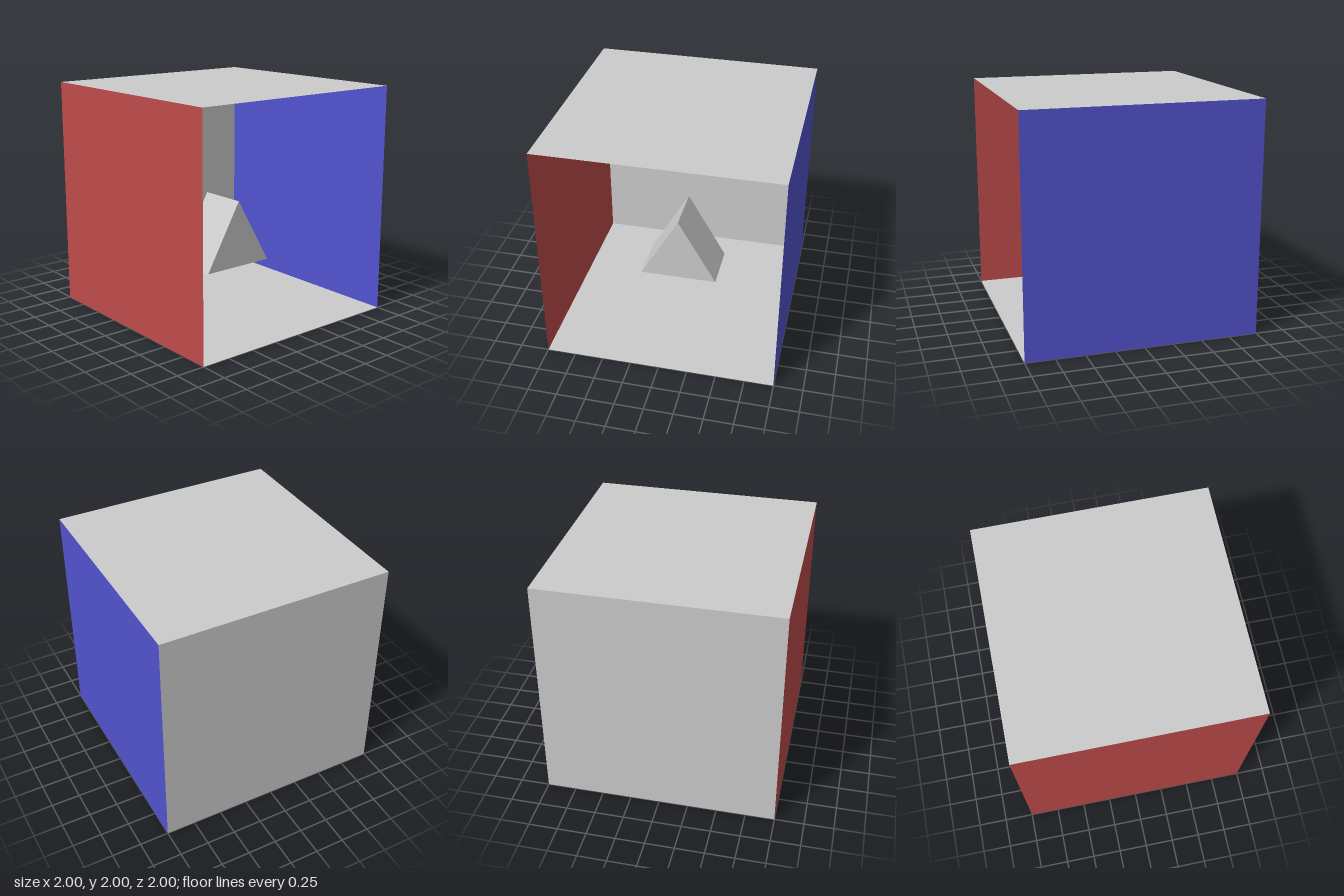
import * as THREE from 'three';

const GREY = 0xcccccc, RED = 0xc04c4c, BLUE = 0x5353d0;

function createMaterial(color) {
  return new THREE.MeshStandardMaterial({ color, side: THREE.DoubleSide, flatShading: true });
}

export function createModel() {
  const model = new THREE.Group();
  const half = Math.PI / 2;

  // Thin panels of a room open at the front: name, colour, position, rotation
  const panels = [
    ['floor', GREY, [0, 0, 0], [-half, 0, 0]],
    ['ceiling', GREY, [0, 2, 0], [half, 0, 0]],
    ['backWall', GREY, [0, 1, -1], [0, 0, 0]],
    ['leftWall', BLUE, [1, 1, 0], [0, -half, 0]],
    ['rightWall', RED, [-1, 1, 0], [0, half, 0]],
  ];
  const panelGeometry = new THREE.PlaneGeometry(2, 2);
  for (const [name, color, position, rotation] of panels) {
    const panel = new THREE.Mesh(panelGeometry, createMaterial(color));
    panel.name = name;
    panel.position.set(...position);
    panel.rotation.set(...rotation);
    model.add(panel);
  }

  // Triangular prism floating inside, its length along z
  const triangle = new THREE.Shape([
    new THREE.Vector2(-0.343, 0.405),
    new THREE.Vector2(0.343, 0.405),
    new THREE.Vector2(0, 1),
  ]);
  const prismGeometry = new THREE.ExtrudeGeometry(triangle, { depth: 0.44, bevelEnabled: false });
  const prism = new THREE.Mesh(prismGeometry, createMaterial(GREY));
  prism.name = 'prism';
  prism.position.z = -0.2;
  model.add(prism);

  return model;
}
